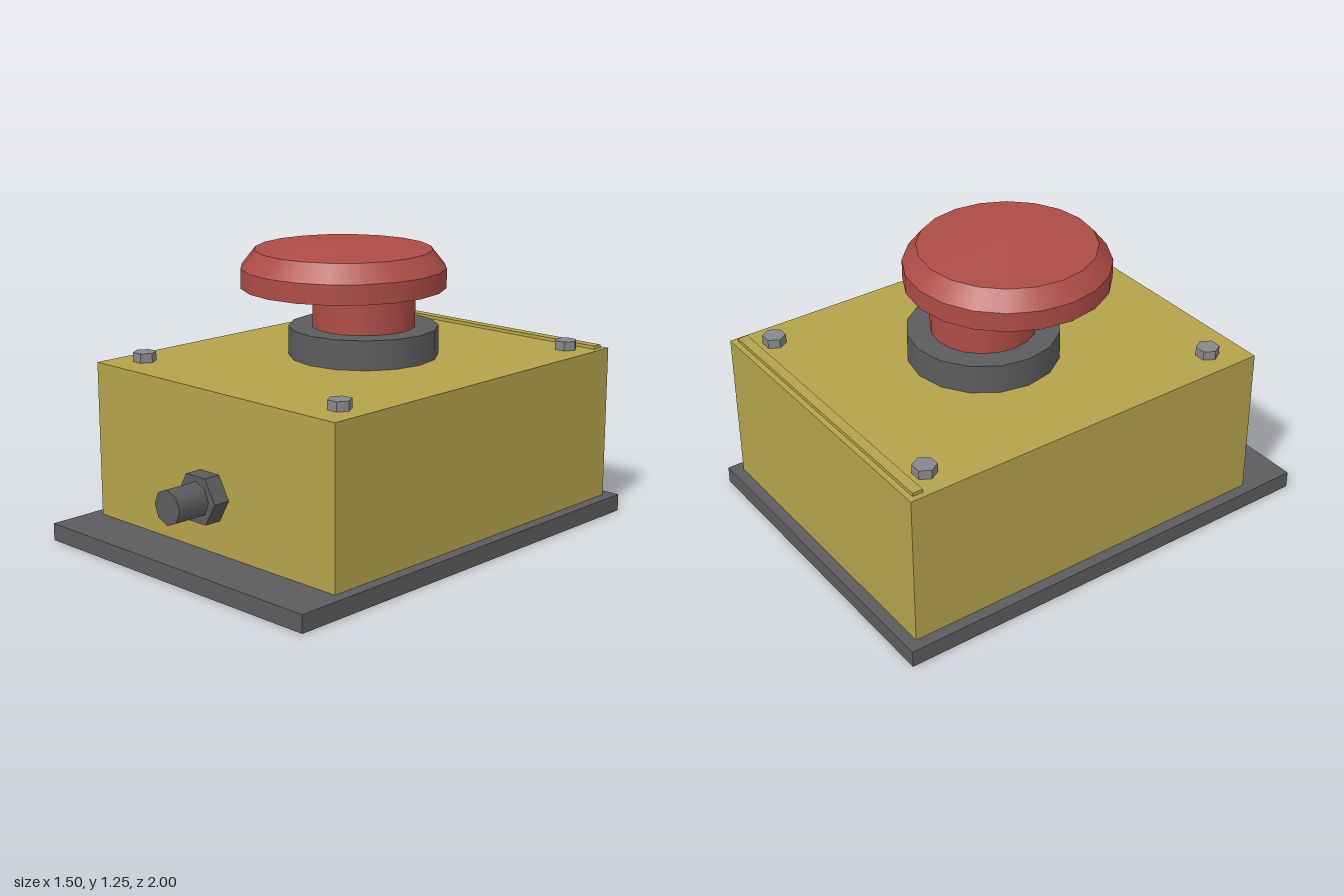
import * as THREE from 'three';

const material = (name, color) => {
  const m = new THREE.MeshStandardMaterial({ color });
  m.name = name;
  return m;
};

export function createModel() {
  const model = new THREE.Group();
  const yellow = material('yellow', 0xb5a34c);
  const red = material('red', 0xae4c47);
  const dark = material('dark grey', 0x5c5c5e);
  const steel = material('steel grey', 0x88888c);

  const add = (name, geometry, mat, x, y, z) => {
    const mesh = new THREE.Mesh(geometry, mat);
    mesh.name = name;
    mesh.position.set(x, y, z);
    model.add(mesh);
    return mesh;
  };
  // Box given by its limits in y and z, centred on x
  const box = (name, mat, width, y0, y1, z0, z1) =>
    add(name, new THREE.BoxGeometry(width, y1 - y0, z1 - z0), mat, 0, (y0 + y1) / 2, (z0 + z1) / 2);
  // Upright round part from y0 to y1
  const round = (name, mat, rBottom, rTop, y0, y1, z, sides, open = false) =>
    add(name, new THREE.CylinderGeometry(rTop, rBottom, y1 - y0, sides, 1, open), mat, 0, (y0 + y1) / 2, z);
  // Six-sided prism with corners along x
  const hex = (radius, height) => {
    const g = new THREE.CylinderGeometry(radius, radius, height, 6, 1, false, Math.PI / 2).toNonIndexed();
    g.computeVertexNormals();
    return g;
  };

  // Housing
  box('basePlate', dark, 1.5, 0, 0.075, -1, 1);
  box('housing', yellow, 1.4, 0.075, 0.75, -0.95, 0.775);
  box('rearRidge', yellow, 1.35, 0.75, 0.765, -0.925, -0.88);

  // Push button; collar and stem sit behind the centre of the cap
  round('collar', dark, 0.324, 0.324, 0.75, 0.877, -0.125, 16);
  round('stem', red, 0.223, 0.223, 0.877, 1.066, -0.125, 20);
  round('capRim', red, 0.437, 0.437, 1.066, 1.15, 0, 20);
  round('capBevel', red, 0.437, 0.377, 1.15, 1.226, 0, 20, true);
  round('capTop', red, 0.377, 0, 1.226, 1.25, 0, 20, true);

  // Lid bolts
  for (const x of [-0.575, 0.575])
    for (const z of [-0.805, 0.62]) add('bolt', hex(0.05, 0.04), steel, x, 0.77, z);

  // Cable gland on the front
  add('glandNut', hex(0.112, 0.075), dark, 0, 0.315, 0.8125).rotation.x = Math.PI / 2;
  add('cableStub', new THREE.CylinderGeometry(0.075, 0.075, 0.15, 8), dark, 0, 0.315, 0.925).rotation.x = Math.PI / 2;

  return model;
}
